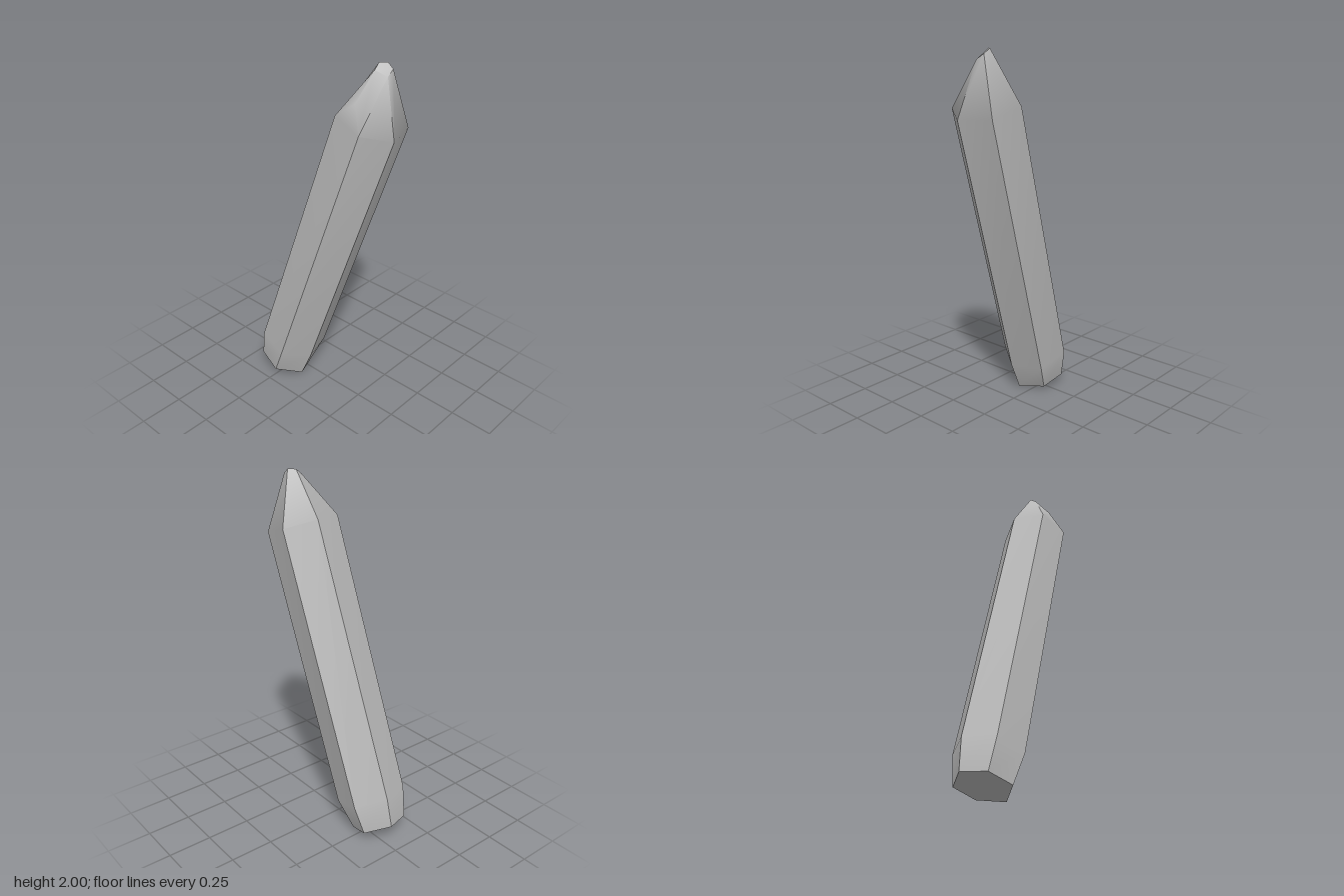
import * as THREE from 'three';

// Area-weighted smooth normals that keep edges sharper than the given angle
function creaseNormals(geometry, angle) {
  const pos = geometry.attributes.position;
  const limit = Math.cos(angle);
  const faces = [];
  const byPoint = new Map();
  const v = i => new THREE.Vector3().fromBufferAttribute(pos, i);
  const key = p => p.toArray().map(n => n.toFixed(4)).join();
  for (let i = 0; i < pos.count; i += 3) {
    const a = v(i), b = v(i + 1), c = v(i + 2);
    const area = b.clone().sub(a).cross(c.clone().sub(a));
    const face = { area, unit: area.clone().normalize(), points: [a, b, c] };
    faces.push(face);
    for (const p of face.points) {
      if (!byPoint.has(key(p))) byPoint.set(key(p), []);
      byPoint.get(key(p)).push(face);
    }
  }
  const normals = [];
  for (const face of faces) for (const p of face.points) {
    const n = new THREE.Vector3();
    for (const other of byPoint.get(key(p))) {
      if (other.unit.dot(face.unit) > limit) n.add(other.area);
    }
    normals.push(...n.normalize().toArray());
  }
  geometry.setAttribute('normal', new THREE.Float32BufferAttribute(normals, 3));
}

export function createModel() {
  const stone = new THREE.MeshStandardMaterial({ color: 0xb8b8b8 });

  // Six-sided cross-sections, counterclockwise from above, starting back left
  const shoulder = [
    [-0.11, 1.755, 0.15], [-0.135, 1.70, 0.322], [0.008, 1.657, 0.425],
    [0.19, 1.667, 0.37], [0.218, 1.722, 0.19], [0.065, 1.768, 0.092],
  ];
  // The shaft slides the shoulder section along the leaning axis
  const lower = shoulder.map(([x, y, z]) => [x - 0.085, y - 1.492, z - 0.492]);
  const base = [
    [-0.175, 0.088, -0.38], [-0.205, 0.045, -0.24], [-0.08, 0, -0.14],
    [0.06, 0.018, -0.205], [0.09, 0.062, -0.335], [-0.035, 0.1, -0.425],
  ];
  const apex = [0.035, 1.972, 0.27];
  const tip = [
    apex, apex, [0.055, 1.947, 0.335],
    [0.10, 1.975, 0.33], [0.105, 2.0, 0.293], [0.072, 2.0, 0.265],
  ];
  const bulge = [-0.08, 1.83, 0.25];

  const points = [];
  const tri = (a, b, c) => points.push(...a, ...b, ...c);
  const quad = (a, b, c, d) => { tri(a, b, c); tri(a, c, d); };

  for (let i = 0; i < 6; i++) {
    const j = (i + 1) % 6;
    // Tapered foot and long shaft
    quad(base[i], base[j], lower[j], lower[i]);
    quad(lower[i], lower[j], shoulder[j], shoulder[i]);
    // Pointed end, with one bulging facet on the side where two ridges meet
    if (i === 0) {
      tri(shoulder[0], shoulder[1], bulge);
      tri(shoulder[1], apex, bulge);
      tri(apex, shoulder[0], bulge);
    } else {
      tri(shoulder[i], shoulder[j], tip[j]);
      if (tip[i] !== tip[j]) tri(shoulder[i], tip[j], tip[i]);
    }
  }
  // Flat ends
  for (let i = 1; i < 5; i++) {
    tri(base[0], base[i + 1], base[i]);
    if (i > 1) tri(apex, tip[i], tip[i + 1]);
  }

  const geometry = new THREE.BufferGeometry();
  geometry.setAttribute('position', new THREE.Float32BufferAttribute(points, 3));
  creaseNormals(geometry, THREE.MathUtils.degToRad(45));

  const crystal = new THREE.Mesh(geometry, stone);
  crystal.name = 'crystal';
  stone.name = 'grey stone';

  const group = new THREE.Group();
  group.name = 'leaningCrystal';
  group.add(crystal);
  return group;
}
